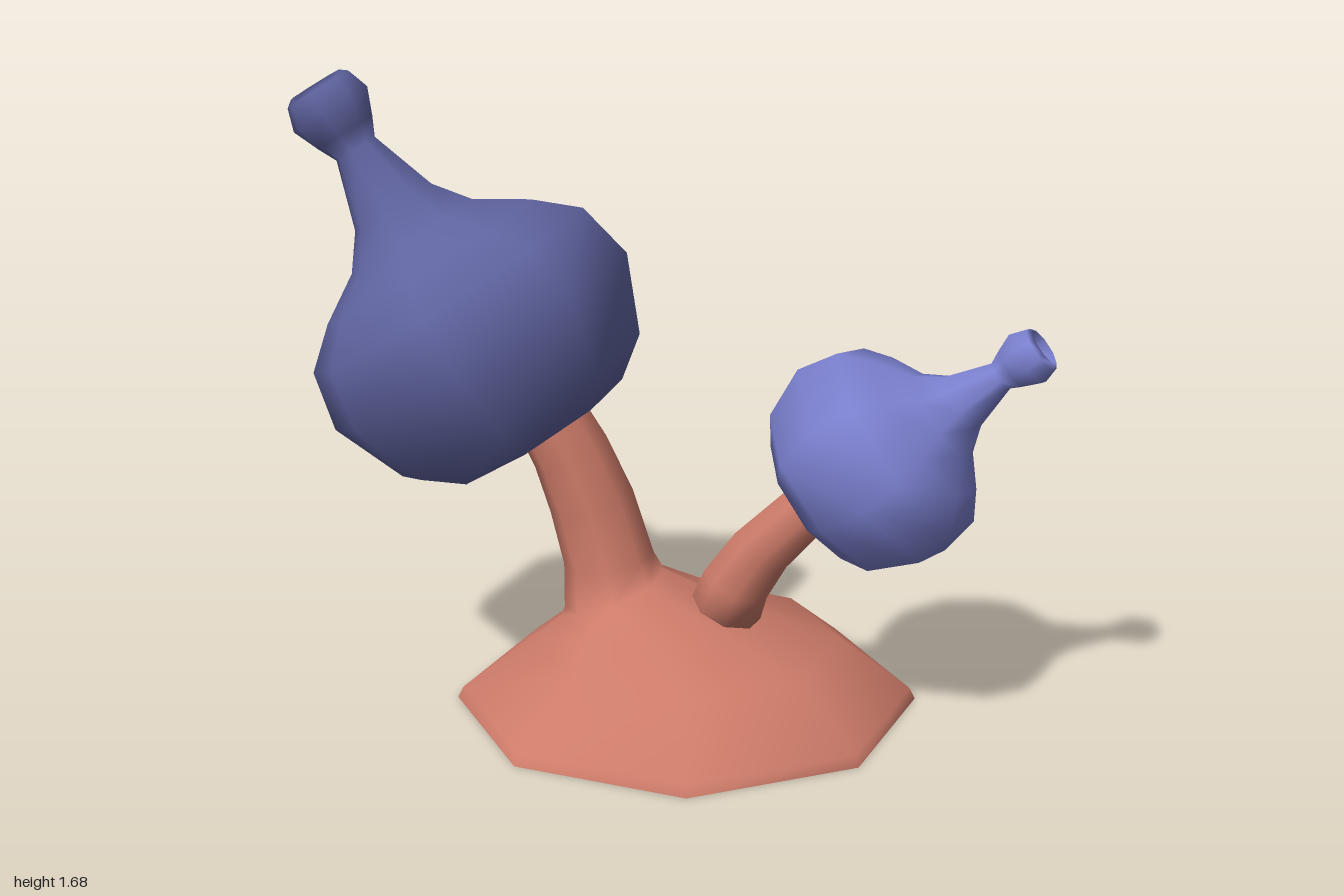
import * as THREE from 'three';

const SIDES = 8;
const vec = (a) => new THREE.Vector3(...a);

// Smooth octagonal skin over rings of [centre, radius, normal]
function loft(rings) {
  const pos = [], index = [];
  rings.forEach(([centre, radius, normal]) => {
    const c = vec(centre), n = vec(normal).normalize();
    const u = new THREE.Vector3(0, 0, 1).addScaledVector(n, -n.z).normalize();
    const v = n.clone().cross(u);
    for (let i = 0; i < SIDES; i++) {
      const a = (i / SIDES) * Math.PI * 2;
      const p = c.clone().addScaledVector(u, Math.cos(a) * radius).addScaledVector(v, Math.sin(a) * radius);
      pos.push(p.x, p.y, p.z);
    }
  });
  for (let r = 0; r < rings.length - 1; r++) {
    for (let i = 0; i < SIDES; i++) {
      const j = (i + 1) % SIDES;
      const a = r * SIDES + i, b = r * SIDES + j;
      index.push(a, b, b + SIDES, a, b + SIDES, a + SIDES);
    }
  }
  const g = new THREE.BufferGeometry();
  g.setAttribute('position', new THREE.Float32BufferAttribute(pos, 3));
  g.setIndex(index);
  g.computeVertexNormals();
  return g;
}

// Pod profile [distance along axis, radius]: hollow underside, bulb, neck, cupped knob
const POD = [
  [-0.12, 0.03], [-0.17, 0.16], [-0.27, 0.22], [-0.33, 0.27], [-0.25, 0.375],
  [-0.05, 0.46], [0.11, 0.425], [0.2, 0.32], [0.28, 0.19], [0.37, 0.12],
  [0.55, 0.06], [0.6, 0.085], [0.67, 0.115], [0.73, 0.095], [0.745, 0.075],
  [0.69, 0.05], [0.68, 0.005],
];

function podGeometry(centre, axis, scale) {
  const n = vec(axis).normalize();
  return loft(POD.map(([t, r]) => [
    vec(centre).addScaledVector(n, t * scale).toArray(), r * scale, axis,
  ]));
}

export function createModel() {
  const group = new THREE.Group();
  const material = (name, color, side = THREE.FrontSide) =>
    Object.assign(new THREE.MeshStandardMaterial({ color, side }), { name });
  const coral = material('coral', 0xcd7b69, THREE.DoubleSide);
  const darkBlue = material('dark blue', 0x5f639f);
  const lightBlue = material('light blue', 0x7b80cf);

  const add = (name, geometry, mat) => {
    const mesh = new THREE.Mesh(geometry, mat);
    mesh.name = name;
    group.add(mesh);
  };

  // Hollow mound flowing into the large stalk
  add('moundAndLargeStalk', loft([
    [[0.07, 0, 0], 0.62, [0, 1, 0]],
    [[0.07, 0.03, 0], 0.605, [0, 1, 0]],
    [[0.07, 0.175, 0], 0.415, [0, 1, 0]],
    [[-0.02, 0.245, -0.02], 0.25, [-0.06, 1, 0]],
    [[-0.125, 0.3, -0.05], 0.145, [-0.4, 1, 0]],
    [[-0.14, 0.38, -0.065], 0.122, [-0.15, 1, 0]],
    [[-0.185, 0.54, -0.07], 0.115, [-0.3, 1, 0]],
    [[-0.24, 0.68, -0.07], 0.105, [-0.45, 1, 0]],
    [[-0.305, 0.8, -0.07], 0.097, [-0.55, 1, 0]],
    [[-0.4, 0.94, -0.08], 0.085, [-0.6, 1, 0]],
  ]), coral);

  // Small stalk pushed through the mound
  add('smallStalk', loft([
    [[0.165, 0.24, 0.025], 0.005, [0.2, 1, 0]],
    [[0.165, 0.245, 0.025], 0.1, [0.2, 1, 0]],
    [[0.2, 0.345, 0.04], 0.092, [0.45, 1, 0.1]],
    [[0.265, 0.45, 0.065], 0.083, [0.7, 1, 0.15]],
    [[0.4, 0.595, 0.1], 0.072, [1, 1, 0.2]],
    [[0.51, 0.695, 0.13], 0.06, [1, 0.9, 0.2]],
  ]), coral);

  add('largePod', podGeometry([-0.505, 1.015, -0.1], [-0.53, 0.85, -0.09], 1), darkBlue);
  add('smallPod', podGeometry([0.573, 0.745, 0.148], [0.77, 0.62, 0.19], 0.68), lightBlue);

  return group;
}
